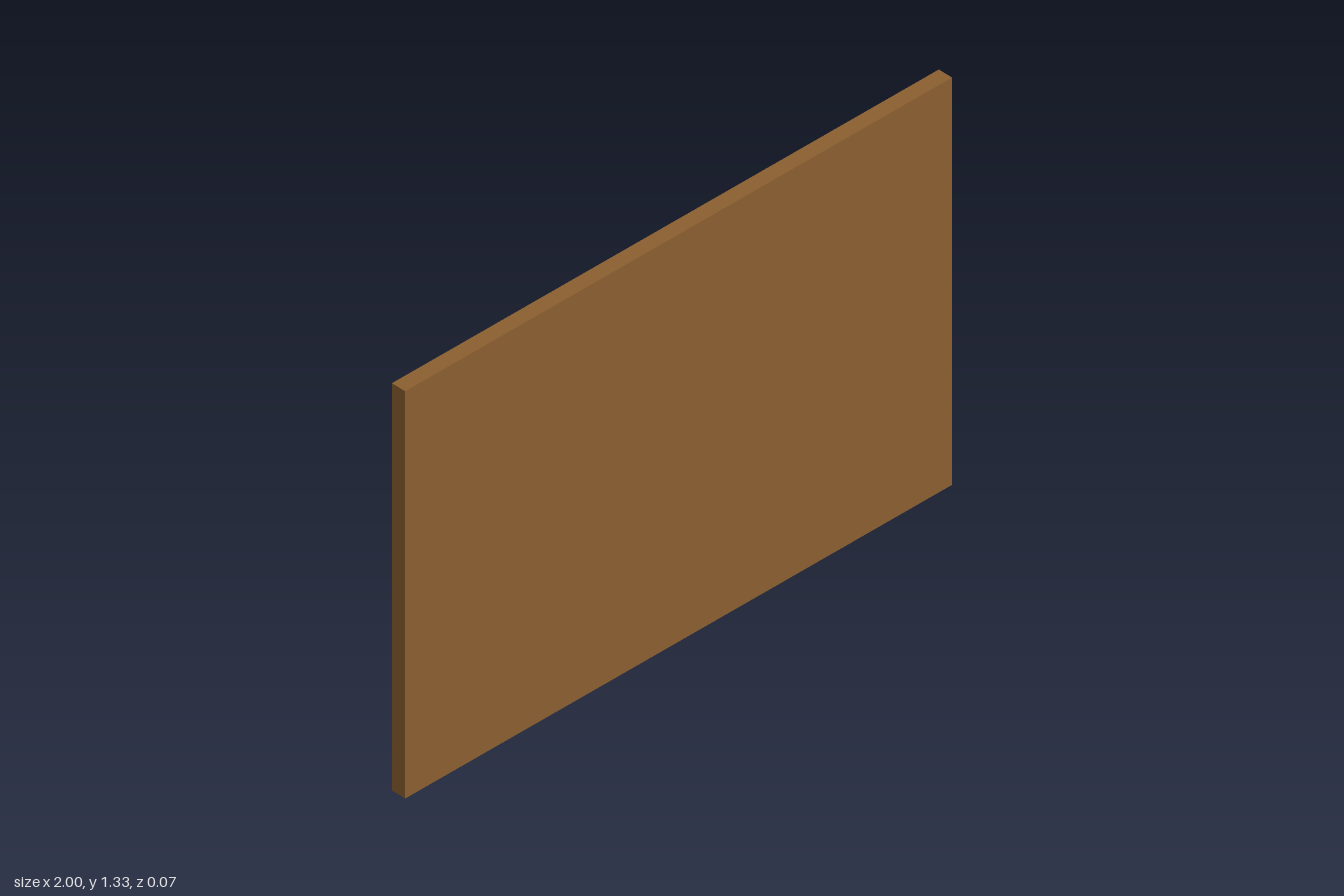
import * as THREE from 'three';

export function createModel() {
  const model = new THREE.Group();
  model.name = 'noticeBoard';

  const wood = new THREE.MeshStandardMaterial({ color: 0x8a5f30 });
  wood.name = 'brown wood';
  const paper = new THREE.MeshStandardMaterial({ color: 0xdedbd2 });
  paper.name = 'off-white paper';

  function addBox(name, size, position, material, tilt = 0) {
    const mesh = new THREE.Mesh(new THREE.BoxGeometry(...size), material);
    mesh.name = name;
    mesh.position.set(...position);
    mesh.rotation.z = tilt;
    model.add(mesh);
  }

  // Board: its notices hang on the -z side
  addBox('board', [2, 1.333, 0.05], [0, 0.6665, 0.0117], wood);

  // Notices: centre x, centre y, tilt
  const notices = [
    [0.417, 0.833, -0.057],
    [-0.167, 1.0, 0],
    [-0.667, 0.917, 0.075],
    [0.7, 0.417, -0.07],
    [0.25, 0.333, 0],
    [-0.5, 0.333, 0.063],
  ];
  notices.forEach(([x, y, tilt], i) => {
    addBox(`sheet${i + 1}`, [0.333, 0.433, 0.01], [x, y, -0.0183], paper, tilt);
    // Square pin near the top of each sheet
    addBox(`pin${i + 1}`, [0.033, 0.033, 0.0134], [x, y + 0.183, -0.03], wood);
  });

  return model;
}
